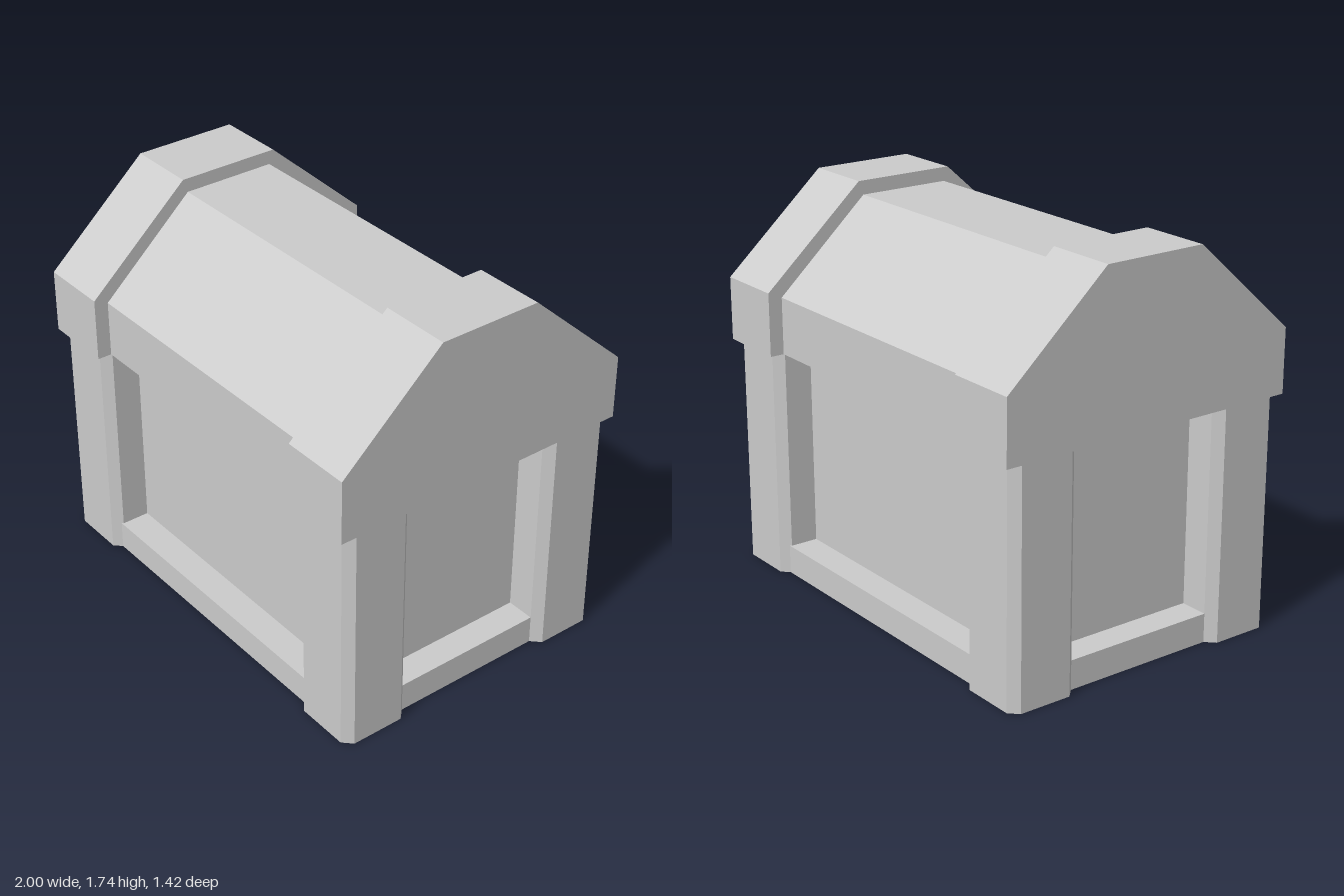
import * as THREE from 'three';

const material = new THREE.MeshStandardMaterial({ color: 0xcccccc, flatShading: true });

function add(group, name, geometry, x = 0, y = 0, z = 0) {
  const mesh = new THREE.Mesh(geometry, material);
  mesh.name = name;
  mesh.position.set(x, y, z);
  group.add(mesh);
}

const extrude = (points, depth) => new THREE.ExtrudeGeometry(
  new THREE.Shape(points.map(([x, y]) => new THREE.Vector2(x, y))),
  { depth, bevelEnabled: false });

// Faceted lid section, extruded along x and centred on it
function lidGeometry(halfDepth, bottom, eave, top, halfTop, length) {
  return extrude([
    [-halfDepth, bottom], [halfDepth, bottom], [halfDepth, eave],
    [halfTop, top], [-halfTop, top], [-halfDepth, eave],
  ], length).translate(0, 0, -length / 2).rotateY(Math.PI / 2);
}

// Square post with chamfered vertical edges, standing on y = 0
function postGeometry(size, chamfer, height) {
  const h = size / 2, c = h - chamfer;
  return extrude([
    [-c, -h], [c, -h], [h, -c], [h, c], [c, h], [-c, h], [-h, c], [-h, -c],
  ], height).rotateX(-Math.PI / 2);
}

export function createModel() {
  const chest = new THREE.Group();
  chest.name = 'chest';
  const rim = 1.035, postSize = 0.322;

  // Recessed wall panels and the bottom rail around them
  add(chest, 'bodyPanels', new THREE.BoxGeometry(1.66, rim, 1.02), 0, rim / 2, 0);
  add(chest, 'bottomRail', new THREE.BoxGeometry(1.92, 0.13, 1.29), 0, 0.065, 0);

  // Corner posts
  for (const sx of [-1, 1]) {
    for (const sz of [-1, 1]) {
      const name = (sz > 0 ? 'front' : 'back') + (sx > 0 ? 'Left' : 'Right') + 'Post';
      add(chest, name, postGeometry(postSize, 0.04, rim),
        sx * (1 - postSize / 2), 0, sz * (0.678 - postSize / 2));
    }
  }

  // Lid with a thicker band at each end
  add(chest, 'lid', lidGeometry(0.645, rim, 1.29, 1.68, 0.215, 1.4));
  for (const sx of [-1, 1]) {
    add(chest, sx > 0 ? 'leftLidBand' : 'rightLidBand',
      lidGeometry(0.71, rim, 1.32, 1.743, 0.237, 0.323), sx * 0.8385);
  }
  return chest;
}
